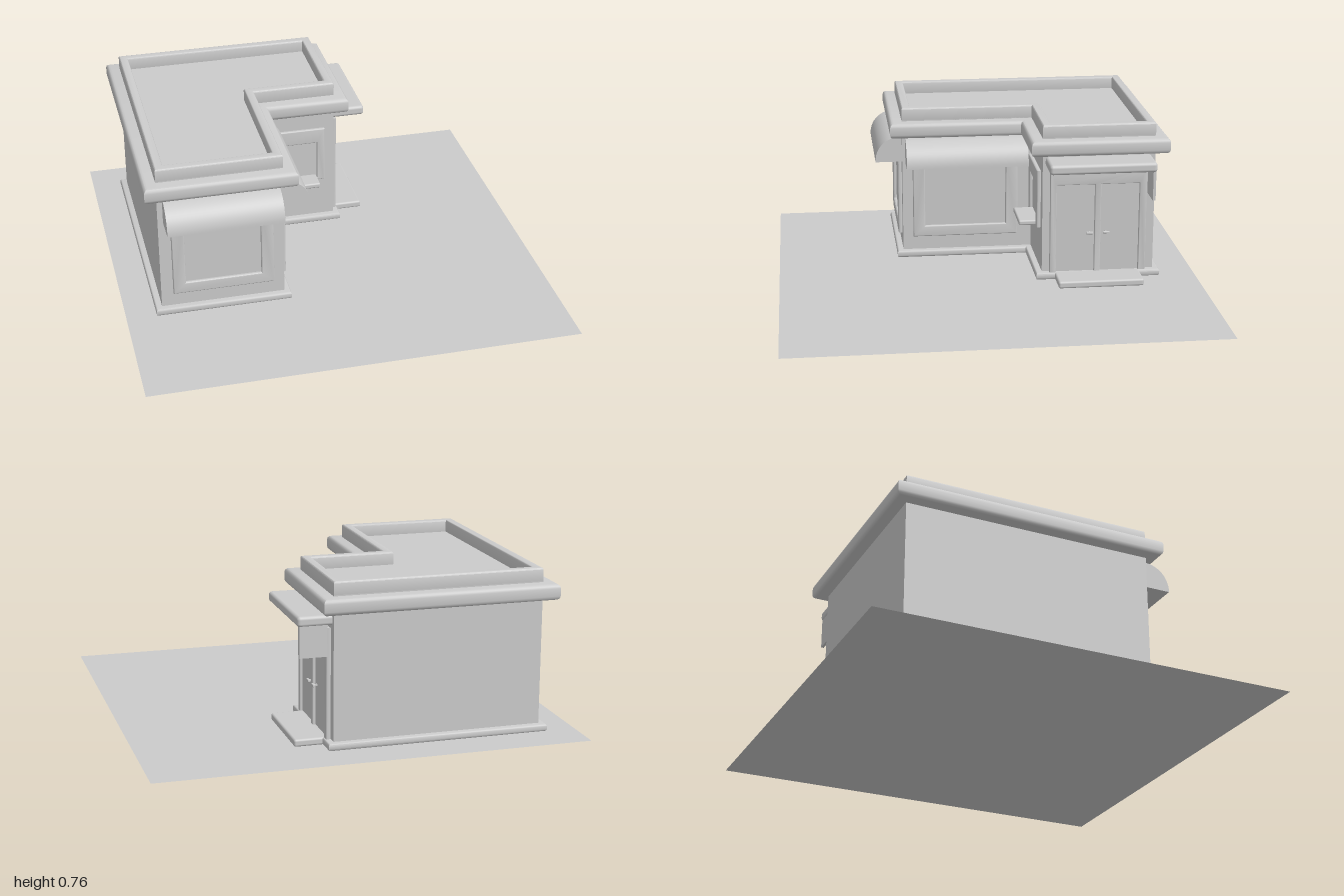
import * as THREE from 'three';
import { toCreasedNormals } from 'three/addons/utils/BufferGeometryUtils.js';
import { RoundedBoxGeometry } from 'three/addons/geometries/RoundedBoxGeometry.js';

const grey = new THREE.MeshStandardMaterial({ color: 0xcccccc });

function add(parent, name, geometry, x = 0, y = 0, z = 0) {
  const mesh = new THREE.Mesh(geometry, grey);
  mesh.name = name;
  mesh.position.set(x, y, z);
  parent.add(mesh);
  return mesh;
}

// L-shaped footprint grown outward by d (shape y is -z)
function footprint(d) {
  return [
    [-0.83 - d, -0.385 - d], [-0.25 + d, -0.385 - d], [-0.25 + d, 0.255 - d],
    [0.145 + d, 0.255 - d], [0.145 + d, 0.795 + d], [-0.83 - d, 0.795 + d],
  ].map(([x, y]) => new THREE.Vector2(x, y));
}

// Extrusion whose rounded edges stay inside the given outline and depth
function roundedExtrude(shape, depth, r) {
  const g = new THREE.ExtrudeGeometry(shape, {
    depth: depth - 2 * r, bevelEnabled: r > 0, bevelSize: r, bevelThickness: r,
    bevelOffset: -r, bevelSegments: 3, curveSegments: 12,
  });
  g.translate(0, 0, r);
  return toCreasedNormals(g, 0.6);
}

// Horizontal L-shaped slab, optionally a hollow ring
function slab(d, y0, y1, r, holeD) {
  const shape = new THREE.Shape(footprint(d));
  if (holeD !== undefined) shape.holes.push(new THREE.Path(footprint(holeD).reverse()));
  return roundedExtrude(shape, y1 - y0, r).rotateX(-Math.PI / 2).translate(0, y0, 0);
}

// Box given by its limits
function block(parent, name, [x0, x1], [y0, y1], [z0, z1], r = 0) {
  const s = [x1 - x0, y1 - y0, z1 - z0];
  const g = r ? new RoundedBoxGeometry(...s, 3, r) : new THREE.BoxGeometry(...s);
  return add(parent, name, g, (x0 + x1) / 2, (y0 + y1) / 2, (z0 + z1) / 2);
}

function rect(T, [x0, x1], [y0, y1]) {
  return new T([[x0, y0], [x1, y0], [x1, y1], [x0, y1]].map(p => new THREE.Vector2(...p)));
}

// Rectangular surround with one or more openings, standing on a wall at z = 0
function frame(parent, name, xs, ys, openings, depth, r) {
  const shape = rect(THREE.Shape, xs, ys);
  for (const [ox, oy] of openings) shape.holes.push(rect(THREE.Path, ox, oy));
  return add(parent, name, roundedExtrude(shape, depth, r));
}

// Solid awning with a quarter-round section
function awning(parent, [x0, x1]) {
  const s = new THREE.Shape();
  s.moveTo(0, 0.485);
  s.lineTo(0.13, 0.485);
  s.lineTo(0.13, 0.5);
  s.bezierCurveTo(0.125, 0.56, 0.08, 0.605, 0.02, 0.61);
  s.lineTo(0, 0.61);
  const g = roundedExtrude(s, x1 - x0, 0);
  g.rotateY(-Math.PI / 2).translate(x1, 0, 0);
  add(parent, 'awning', g);
}

// Shop window with its awning
function shopWindow(parent, [x0, x1], awningX) {
  const b = 0.06, xs = [x0 + b, x1 - b], ys = [0.16, 0.48];
  frame(parent, 'windowFrame', [x0, x1], [0.105, 0.54], [[xs, ys]], 0.02, 0.006);
  block(parent, 'windowPane', xs, ys, [-0.01, 0.004]);
  awning(parent, awningX);
}

// Group whose local +z faces out of a wall
function wallGroup(root, name, x, z, turned) {
  const g = new THREE.Group();
  g.name = name;
  g.position.set(x, 0, z);
  if (turned) g.rotation.y = Math.PI / 2; // local x becomes -z
  root.add(g);
  return g;
}

export function createModel() {
  const root = new THREE.Group();
  root.name = 'cornerShop';

  // Ground sheet
  const ground = add(root, 'ground', new THREE.PlaneGeometry(2, 2).rotateX(-Math.PI / 2));
  ground.material = new THREE.MeshStandardMaterial({ color: 0xcccccc, side: THREE.DoubleSide });

  // Building shell
  add(root, 'plinth', slab(0.03, 0.001, 0.035, 0.01));
  add(root, 'walls', slab(0, 0.01, 0.7, 0));
  add(root, 'cornice', slab(0.06, 0.62, 0.695, 0.02));
  add(root, 'parapet', slab(0, 0.68, 0.76, 0.008, -0.042));

  // Front wing: a shop window on each outer face
  shopWindow(wallGroup(root, 'frontWindow', 0, 0.385), [-0.775, -0.3], [-0.805, -0.27]);
  shopWindow(wallGroup(root, 'sideWindow', -0.25, 0, true), [-0.335, 0.185], [-0.37, 0.225]);

  // Serving hatch in the inner corner
  const hatch = wallGroup(root, 'servingHatch', 0, -0.255);
  const hx = [-0.162, 0.057], hy = [0.255, 0.45];
  frame(hatch, 'hatchFrame', [-0.205, 0.095], [0.24, 0.525], [[hx, hy]], 0.02, 0.005);
  block(hatch, 'hatchPane', hx, hy, [-0.01, 0.004]);
  block(hatch, 'hatchSill', [-0.16, 0.055], [0.24, 0.265], [0, 0.1], 0.008);

  // Double door, canopy and step
  const entrance = wallGroup(root, 'entrance', 0.145, 0, true);
  const doors = [[0.32, 0.505], [0.535, 0.72]], doorY = [0.035, 0.47];
  frame(entrance, 'doorFrame', [0.29, 0.755], [0.005, 0.545], doors.map(d => [d, doorY]), 0.022, 0.005);
  for (const d of doors) block(entrance, 'doorLeaf', d, doorY, [-0.01, 0.008]);
  for (const x of [0.465, 0.545]) {
    block(entrance, 'doorHandle', [x, x + 0.032], [0.224, 0.236], [0.02, 0.032], 0.003);
    block(entrance, 'handleStem', [x + 0.012, x + 0.02], [0.226, 0.234], [0, 0.025]);
  }
  block(entrance, 'canopy', [0.268, 0.775], [0.56, 0.607], [-0.01, 0.157], 0.015);
  block(entrance, 'hangingPanel', [0.757, 0.77], [0.42, 0.575], [0.02, 0.147]);
  block(entrance, 'doorStep', [0.315, 0.725], [0.001, 0.035], [-0.01, 0.16], 0.01);

  return root;
}
